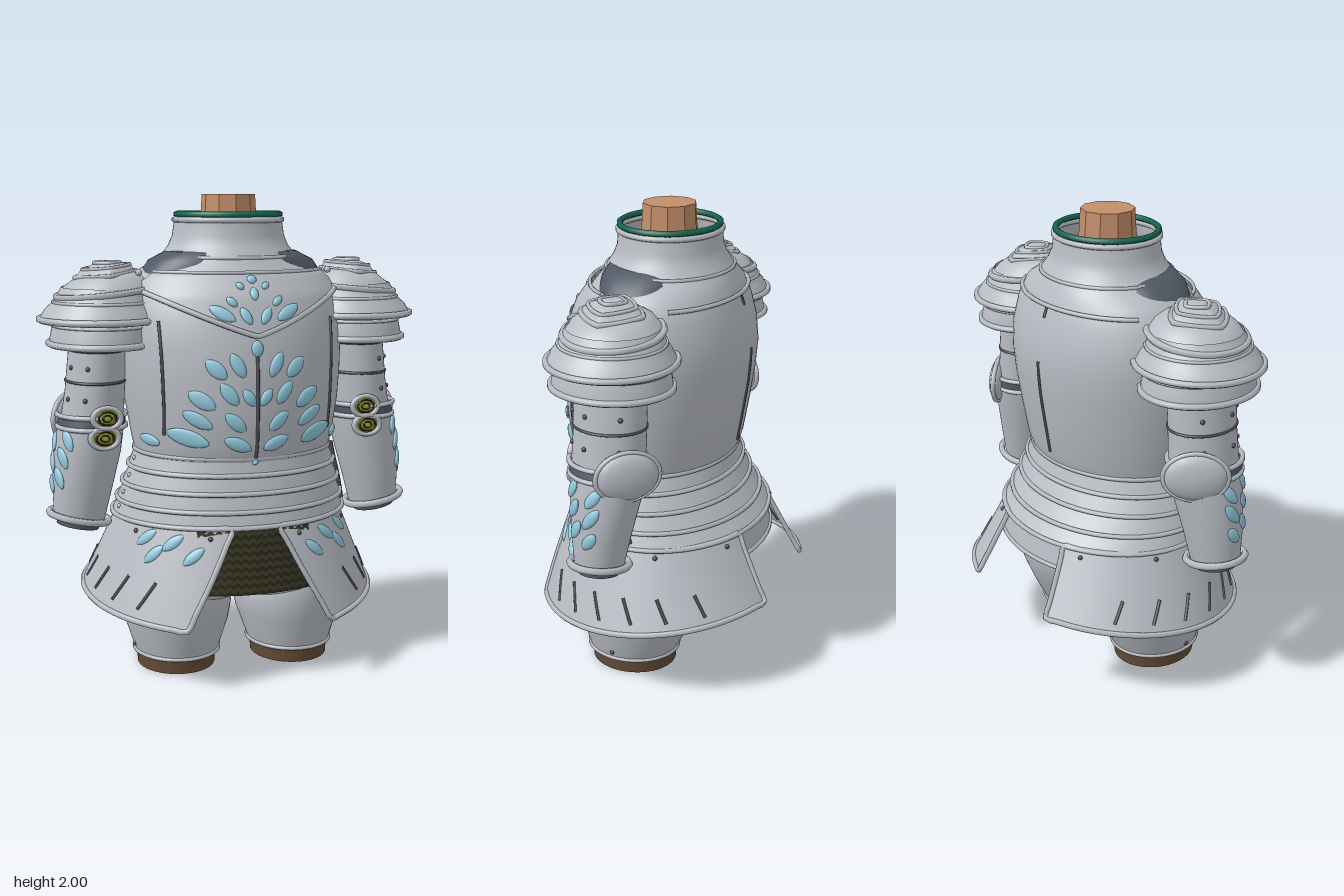
import * as THREE from 'three';

const mat = (name, color) => {
  const m = new THREE.MeshStandardMaterial({ color, side: THREE.DoubleSide });
  m.name = name;
  return m;
};
const steel = mat('steel', 0xb9bdc4), skin = mat('skin', 0xc28e69), hide = mat('brown cloth', 0x624b36),
  slate = mat('slate cloth', 0x4f5864), gem = mat('pale blue', 0x92cade), green = mat('green trim', 0x14664e),
  mail = mat('mail', 0x29281b), mailLight = mat('mail light', 0x3d3a26), lime = mat('lime', 0xa3a82a),
  line = mat('dark seam', 0x484d54);
const V = (x, y, z) => new THREE.Vector3(x, y, z);
const lerp = THREE.MathUtils.lerp;

// A section is [y, rx, rz, cx, cz, tilt]; p above 1 turns the ellipse into a rounded diamond
function pointOn([y, rx, rz, cx = 0, cz = 0, tilt = 0], a, p = 1, off = 0) {
  const s = Math.sin(a), c = Math.cos(a);
  const x = (rx + off) * Math.sign(s) * Math.abs(s) ** p;
  return V(cx + x, y + tilt * x, cz + (rz + off) * Math.sign(c) * Math.abs(c) ** p);
}
function sectionAt(rows, y) {
  let i = 0;
  while (i < rows.length - 2 && rows[i + 1][0] < y) i++;
  const t = THREE.MathUtils.clamp((y - rows[i][0]) / (rows[i + 1][0] - rows[i][0]), 0, 1);
  return [0, 1, 2, 3, 4, 5].map(k => lerp(rows[i][k] ?? 0, rows[i + 1][k] ?? 0, t));
}
const sided = (s, rows) => rows.map(([y, rx, rz, cx, cz, t = 0]) => [y, rx, rz, cx * s, cz, t * s]);

// Surface from a function of u and v in 0..1
function grid(f, nu, nv) {
  const pos = [], idx = [];
  for (let j = 0; j <= nv; j++) for (let i = 0; i <= nu; i++) pos.push(...f(i / nu, j / nv).toArray());
  for (let j = 0; j < nv; j++) for (let i = 0; i < nu; i++) {
    const a = j * (nu + 1) + i, d = a + nu + 1;
    idx.push(a, a + 1, d + 1, a, d + 1, d);
  }
  const g = new THREE.BufferGeometry();
  g.setAttribute('position', new THREE.Float32BufferAttribute(pos, 3));
  g.setIndex(idx);
  g.computeVertexNormals();
  return g;
}
// Closed wall through sections listed from the bottom up
function loft(rows, { n = 48, p = 1, cap = '' } = {}) {
  const pos = [], idx = [], last = (rows.length - 1) * n;
  for (const r of rows) for (let i = 0; i < n; i++) pos.push(...pointOn(r, (i / n) * Math.PI * 2, p).toArray());
  for (let j = 0; j < rows.length - 1; j++) for (let i = 0; i < n; i++) {
    const a = j * n + i, b = j * n + ((i + 1) % n);
    idx.push(a, b, b + n, a, b + n, a + n);
  }
  const lid = (r, base, up) => {
    const o = pos.length / 3;
    for (let i = 0; i < n; i++) pos.push(...pos.slice((base + i) * 3, (base + i) * 3 + 3));
    pos.push(r[3] ?? 0, r[0], r[4] ?? 0);
    for (let i = 0; i < n; i++) {
      const a = o + i, b = o + ((i + 1) % n);
      idx.push(o + n, ...(up ? [a, b] : [b, a]));
    }
  };
  if (cap.includes('b')) lid(rows[0], 0, false);
  if (cap.includes('t')) lid(rows.at(-1), last, true);
  const g = new THREE.BufferGeometry();
  g.setAttribute('position', new THREE.Float32BufferAttribute(pos, 3));
  g.setIndex(idx);
  g.computeVertexNormals();
  return g;
}
const tube = (pts, r, closed = false) =>
  new THREE.TubeGeometry(new THREE.CatmullRomCurve3(pts, closed), pts.length * 2, r, 6, closed);
const rim = (row, r, p = 1) =>
  tube(Array.from({ length: 36 }, (_, i) => pointOn(row, (i / 36) * Math.PI * 2, p)), r, true);
const path = (n, f) => Array.from({ length: n + 1 }, (_, i) => f(i / n));
const leafGeo = new THREE.LatheGeometry(path(10, t =>
  new THREE.Vector2(Math.sin(t * Math.PI) ** 1.3, -Math.cos(t * Math.PI))), 12);
const ball = new THREE.SphereGeometry(1, 16, 10);

export function createModel() {
  const root = new THREE.Group();
  root.name = 'armour';
  const add = (name, geo, material, parent = root) => {
    const m = new THREE.Mesh(geo, material);
    m.name = name;
    parent.add(m);
    return m;
  };
  const blob = (name, material, pos, size) => {
    const m = add(name, ball, material);
    m.position.copy(pos);
    m.scale.set(...size);
  };
  const rivet = (pos, material = line) => blob('rivet', material, pos, [0.01, 0.01, 0.01]);
  // Leaf lying on surface f(u, v), turned by angle from the u direction
  const leaf = (f, u, v, angle, len, wid) => {
    const e = 0.005, o = f(u, v), du = f(u + e, v).sub(o).normalize(), dv = f(u, v + e).sub(o).normalize();
    const nrm = du.clone().cross(dv).normalize(), a = THREE.MathUtils.degToRad(angle);
    const dir = du.multiplyScalar(Math.cos(a)).addScaledVector(dv, Math.sin(a));
    dir.addScaledVector(nrm, -dir.dot(nrm)).normalize();
    const m = add('leaf', leafGeo, gem);
    m.quaternion.setFromRotationMatrix(new THREE.Matrix4().makeBasis(dir.clone().cross(nrm), dir, nrm));
    m.position.copy(o);
    m.scale.set(wid / 2, len / 2, 0.011);
  };

  // Cuirass and collar, given as [y, half width, front z, back z]
  const body = [[0.93, 0.42, 0.425, -0.255], [1, 0.435, 0.45, -0.28], [1.15, 0.46, 0.46, -0.305],
    [1.28, 0.473, 0.457, -0.325], [1.4, 0.48, 0.445, -0.335], [1.5, 0.475, 0.42, -0.325], [1.6, 0.45, 0.385, -0.3],
    [1.68, 0.4, 0.33, -0.27], [1.72, 0.33, 0.3, -0.25], [1.75, 0.285, 0.285, -0.235], [1.79, 0.255, 0.258, -0.208],
    [1.83, 0.238, 0.243, -0.193], [1.895, 0.228, 0.238, -0.187]]
    .map(([y, rx, f, b]) => [y, rx, (f - b) / 2, 0, (f + b) / 2]);
  add('cuirass', loft(body, { n: 64 }), steel);
  const onBody = (x, y, off = 0, back = false) => {
    const r = sectionAt(body, y), a = Math.asin(THREE.MathUtils.clamp(x / r[1], -1, 1));
    return pointOn(r, back ? Math.PI - a : a, 1, off);
  };
  add('collarRim', rim(body.at(-1), 0.012), steel);
  add('collarTrim', rim([1.917, 0.22, 0.205, 0, 0.027], 0.013), green);
  add('collarBaseRim', rim([1.745, 0.292, 0.262, 0, 0.025], 0.008), steel);
  // Padding showing in the shoulder openings beside the collar
  add('shoulderPadding', loft([[1.68, 0.385, 0.205, 0, 0.065], [1.73, 0.35, 0.2, 0, 0.065],
    [1.767, 0.275, 0.185, 0, 0.065], [1.775, 0.2, 0.16, 0, 0.065]], { p: 0.8 }), slate);
  const neck = new THREE.LatheGeometry([[0.2, 1.5], [0.118, 1.9], [0.112, 2], [0, 2]]
    .map(([x, y]) => new THREE.Vector2(x, y)), 10).toNonIndexed();
  neck.computeVertexNormals();
  add('neck', neck, skin).position.z = 0.03;

  // Gorget plate dipping to a point on the chest
  const gorget = (u, v) => {
    const y = lerp(1.445 + 0.18 * Math.abs(u) ** 1.15, 1.69, v);
    return onBody(u * lerp(0.42, 0.34, v), y, 0.022);
  };
  add('gorget', grid((u, v) => gorget(u * 2 - 1, v), 40, 8), steel);
  add('gorgetLowerRim', tube(path(30, t => gorget(t * 2 - 1, 0)), 0.012), steel);
  add('gorgetUpperRim', tube(path(30, t => gorget(t * 2 - 1, 1)), 0.008), steel);
  add('backRim', tube(path(24, t => onBody((t - 0.5) * 0.74, 1.65, 0.004, true)), 0.01), steel);

  // Seams
  add('frontRidge', tube(path(8, t => onBody(0, lerp(0.95, 1.42, t), 0.001)), 0.007), line);
  add('backSeam', tube(path(8, t => onBody(0, lerp(1, 1.42, t), 0, true)), 0.007), line);
  add('backTick', tube(path(2, t => onBody(0, lerp(1.6, 1.64, t), 0, true)), 0.007), line);

  // Leaf ornament on chest and gorget: x, y, angle, length, width
  const chest = (x, y) => onBody(x, y, 0.002), upper = (x, y) => onBody(x, y, 0.024);
  leaf(chest, 0, 1.395, 90, 0.07, 0.05);
  leaf(chest, 0, 0.915, 0, 0.04, 0.03);
  leaf(upper, 0, 1.665, 90, 0.04, 0.04);
  leaf(upper, 0, 1.61, 90, 0.06, 0.035);
  for (const s of [1, -1]) {
    for (const [x, y, a, l, w] of [[0.165, 1.315, 42, 0.11, 0.06], [0.08, 1.33, 62, 0.11, 0.052],
      [0.22, 1.19, 30, 0.13, 0.064], [0.115, 1.215, 52, 0.11, 0.055], [0.035, 1.2, 55, 0.08, 0.045],
      [0.27, 1.035, 14, 0.19, 0.07], [0.235, 1.11, 27, 0.14, 0.058], [0.09, 1.1, 42, 0.11, 0.055],
      [0.08, 1.01, 22, 0.12, 0.055], [0.395, 1.01, 8, 0.12, 0.048]])
      leaf(chest, s * x, y, s > 0 ? a : 180 - a, l, w);
    for (const [x, y, a, l, w] of [[0.05, 1.64, 50, 0.04, 0.028], [0.09, 1.58, 45, 0.055, 0.032],
      [0.13, 1.535, 30, 0.12, 0.05], [0.04, 1.525, 62, 0.08, 0.04]])
      leaf(upper, s * x, y, s > 0 ? a : 180 - a, l, w);
    add('sideSeam', tube(path(8, t => onBody(s * lerp(0.35, 0.365, t), lerp(1.04, 1.5, t), 0.001)), 0.007), line);
  }

  // Overlapping waist bands
  const waist = [[0.66, 0.497, 0.435, -0.39], [0.725, 0.48, 0.432, -0.345], [0.8, 0.46, 0.426, -0.298],
    [0.875, 0.436, 0.42, -0.266], [0.945, 0.42, 0.42, -0.255]]
    .map(([y, rx, f, b]) => [y, rx, (f - b) / 2, 0, (f + b) / 2]);
  for (let i = 0; i < 4; i++) {
    const [y, rx, rz, , cz] = waist[i];
    const low = [y, rx + 0.012, rz + 0.012, 0, cz];
    add('waistBand', loft([low, waist[i + 1]], { n: 56 }), steel);
    add('waistRim', rim(low, 0.011), steel);
    for (const s of [1, -1]) rivet(pointOn(sectionAt(waist, y + 0.035), s * 1.5, 1, 0.006), steel);
  }
  add('waistTopRim', rim(waist[4], 0.013), steel);
  for (const a of [1.4, 1.62]) // side straps
    add('strap', tube(path(6, t => pointOn(sectionAt(waist, lerp(0.68, 0.94, t)), a, 1, 0.012)), 0.014), slate);

  // Lowest lame, filling the gap at the back
  const lame = (u, v) => pointOn([lerp(0.55, 0.67, v), lerp(0.52, 0.5, v), lerp(0.43, 0.405, v), 0, 0.02],
    Math.PI + lerp(-0.75, 0.75, u));
  add('backLame', grid(lame, 24, 2), steel);
  add('backLameRim', tube(path(20, t => lame(t, 0)), 0.01), steel);

  // Mail apron with zigzag rows
  const apron = (u, y, off) => {
    const x = (u - 0.5) * 0.48;
    return V(x, y, 0.445 + 0.1 * (0.665 - y) - 0.8 * x * x + off);
  };
  add('mailApron', grid((u, v) => apron(u, lerp(0.385, 0.665, v), 0), 16, 4), mail);
  for (let r = 0; r < 8; r++)
    add('mailRow', grid((u, v) => {
      const zig = Math.round(u * 28) % 2 ? 0.014 : 0;
      return apron(u, 0.392 + r * 0.033 + zig + v * 0.018, 0.004);
    }, 28, 1), mailLight);

  add('hips', loft([[0.33, 0.12, 0.16, 0, 0.08], [0.37, 0.3, 0.23, 0, 0.08], [0.5, 0.4, 0.3, 0, 0.05],
    [0.7, 0.42, 0.33, 0, 0.04]], { cap: 'b' }), hide);

  for (const s of [1, -1]) {
    // Flared skirt plate: u runs front to back, h runs bottom to top
    const skirt = (u, h) => {
      const a = lerp(lerp(0.51, 0.205, h), Math.PI - lerp(0.405, 0.42, h), u);
      const z = lerp(0, 0.022, h) + lerp(lerp(0.578, 0.55, u), 0.425, h) * Math.cos(a);
      return V(s * lerp(0.635, 0.493, h) * Math.sin(a), lerp(0.325 - 0.12 * z, 0.66, h), z);
    };
    add('skirtPlate', grid(skirt, 40, 6), steel);
    const edge = [...path(24, t => skirt(t, 0)), ...path(6, t => skirt(1, t)).slice(1),
      ...path(24, t => skirt(1 - t, 1)).slice(1), ...path(6, t => skirt(0, 1 - t)).slice(1, -1)];
    add('skirtRim', tube(edge, 0.012, true), steel);
    for (const u of [0.17, 0.28, 0.39, 0.51, 0.63, 0.76])
      add('skirtSlit', tube(path(3, t => skirt(u + 0.015 * (1 - t), lerp(0.12, 0.42, t))), 0.007), line);
    for (const u of [0.06, 0.35, 0.65, 0.93]) rivet(skirt(u, 0.9));
    for (const [u, h, a] of [[0.09, 0.72, 125], [0.18, 0.84, 130], [0.23, 0.7, 120], [0.29, 0.86, 130]])
      leaf(skirt, u, h, a, 0.11, 0.046);

    // Thigh and its plate
    add('thigh', loft(sided(s, [[0, 0.166, 0.187, 0.257, 0.097], [0.08, 0.17, 0.19, 0.256, 0.097],
      [0.3, 0.21, 0.24, 0.25, 0.08], [0.5, 0.2, 0.23, 0.25, 0.06]]), { cap: 'b' }), hide);
    const plate = sided(s, [[0.068, 0.18, 0.2, 0.255, 0.1], [0.2, 0.224, 0.252, 0.253, 0.086],
      [0.3, 0.243, 0.286, 0.258, 0.076, 0.12], [0.375, 0.24, 0.285, 0.265, 0.07, 0.3]]);
    add('thighPlate', loft(plate), steel);
    add('thighLowerRim', rim(plate[0], 0.01), steel);
    add('thighUpperRim', rim(plate[3], 0.01), steel);
    for (const y of [0.1, 0.21, 0.29]) rivet(pointOn(sectionAt(plate, y), s * 1.45));

    // Arm
    const fore = sided(s, [[0.665, 0.106, 0.1, 0.665, 0.065, 0.2], [0.8, 0.125, 0.122, 0.648, 0.06, 0.15],
      [0.95, 0.14, 0.145, 0.622, 0.05, 0.08], [1.06, 0.138, 0.155, 0.603, 0.045]]);
    const upperArm = sided(s, [[1.06, 0.132, 0.15, 0.6, 0.045], [1.2, 0.124, 0.15, 0.585, 0.045],
      [1.45, 0.118, 0.15, 0.565, 0.045]]);
    add('forearm', loft(fore), steel);
    add('upperArm', loft(upperArm), steel);
    add('cuff', loft(sided(s, [[0.625, 0.088, 0.082, 0.672, 0.065, 0.2], [0.7, 0.09, 0.085, 0.662, 0.065, 0.2]]),
      { cap: 'b' }), slate);
    add('wristRim', rim(fore[0].map((v, k) => (k === 1 || k === 2 ? v + 0.018 : v)), 0.015), steel);
    add('elbowBand', loft(sided(s, [[1.06, 0.143, 0.16, 0.603, 0.045], [1.09, 0.138, 0.157, 0.598, 0.045]])), slate);
    for (const y of [1.05, 1.1]) add('elbowRim', rim(sided(s, [[y, 0.143, 0.159, 0.602, 0.045]])[0], 0.011), steel);
    for (const y of [1.24, 1.37]) add('armSeam', rim(sectionAt(upperArm, y), 0.006), line);
    for (const y of [1.17, 1.3]) for (const a of [0.5, 1.2, 2.2]) rivet(pointOn(sectionAt(upperArm, y), s * a));
    const onFore = (a, y) => pointOn(sectionAt(fore, y), s * a, 1, 0.001);
    for (const [a, y, l] of [[0.85, 1.0, 0.1], [1.6, 0.98, 0.1], [0.95, 0.92, 0.1], [1.6, 0.89, 0.11],
      [1.05, 0.83, 0.1], [1.6, 0.79, 0.09]])
      leaf(onFore, a, y, 55, l, 0.048);

    // Paired oval clasps at the front of the elbow
    for (const [x, y] of [[0.565, 1.1], [0.575, 1.018]]) {
      blob('clasp', lime, V(s * x, y, 0.2), [0.054, 0.041, 0.014]);
      for (const [r, t, m] of [[0.058, 0.013, steel], [0.036, 0.005, mail], [0.018, 0.005, mail]]) {
        const ring = add('claspRing', new THREE.TorusGeometry(r, t, 8, 28), m);
        ring.position.set(s * x, y, r > 0.05 ? 0.203 : 0.211);
        ring.scale.y = 0.75;
      }
    }
    // Elbow fan
    const fan = new THREE.Group();
    fan.name = 'elbowFan';
    fan.position.set(s * 0.675, 1.07, -0.07);
    fan.rotation.y = s * 2.28;
    root.add(fan);
    add('fanDish', ball, steel, fan).scale.set(0.13, 0.1, 0.04);
    add('fanRim', new THREE.TorusGeometry(0.13, 0.011, 8, 36), steel, fan).scale.y = 0.78;

    // Layered pauldron
    const layers = [
      [[1.395, 0.215, 0.245, 0.555, 0.045], [1.47, 0.205, 0.232, 0.55, 0.045], [1.55, 0.18, 0.2, 0.545, 0.045]],
      [[1.495, 0.258, 0.255, 0.55, 0.045], [1.535, 0.235, 0.235, 0.55, 0.045], [1.565, 0.205, 0.212, 0.545, 0.045],
        [1.625, 0.18, 0.185, 0.535, 0.045]],
      [[1.605, 0.2, 0.195, 0.535, 0.045, -0.1], [1.645, 0.17, 0.165, 0.532, 0.048, -0.1],
        [1.675, 0.125, 0.125, 0.53, 0.05, -0.1], [1.69, 0.04, 0.04, 0.53, 0.05, -0.1]]];
    layers.forEach((rows, i) => {
      const r = sided(s, rows);
      add('pauldronLayer', loft(r, { cap: i === 2 ? 't' : '' }), steel);
      add('pauldronRim', rim(r[0], 0.014), steel);
      if (i < 2) add('pauldronSeam', rim(r.at(-2), 0.007), steel);
    });
    const crest = sided(s, [[1.675, 0.125, 0.13, 0.535, 0.05, -0.1], [1.705, 0.105, 0.105, 0.53, 0.05, -0.1],
      [1.73, 0.03, 0.03, 0.525, 0.05]]);
    add('pauldronCrest', loft(crest, { p: 1.5, cap: 't' }), steel);
    add('crestRim', rim(crest[0], 0.011, 1.5), steel);
    add('crestMiddleRim', rim([1.705, 0.1, 0.1, s * 0.53, 0.05, -0.1 * s], 0.009, 1.5), steel);
    add('crestInnerRim', rim([1.722, 0.055, 0.055, s * 0.525, 0.05], 0.009, 1.5), steel);
    for (const z of [0.06, 0.1, 0.13]) blob('pauldronStud', steel, V(s * 0.41, 1.685, z), [0.014, 0.014, 0.014]);
  }
  return root;
}
